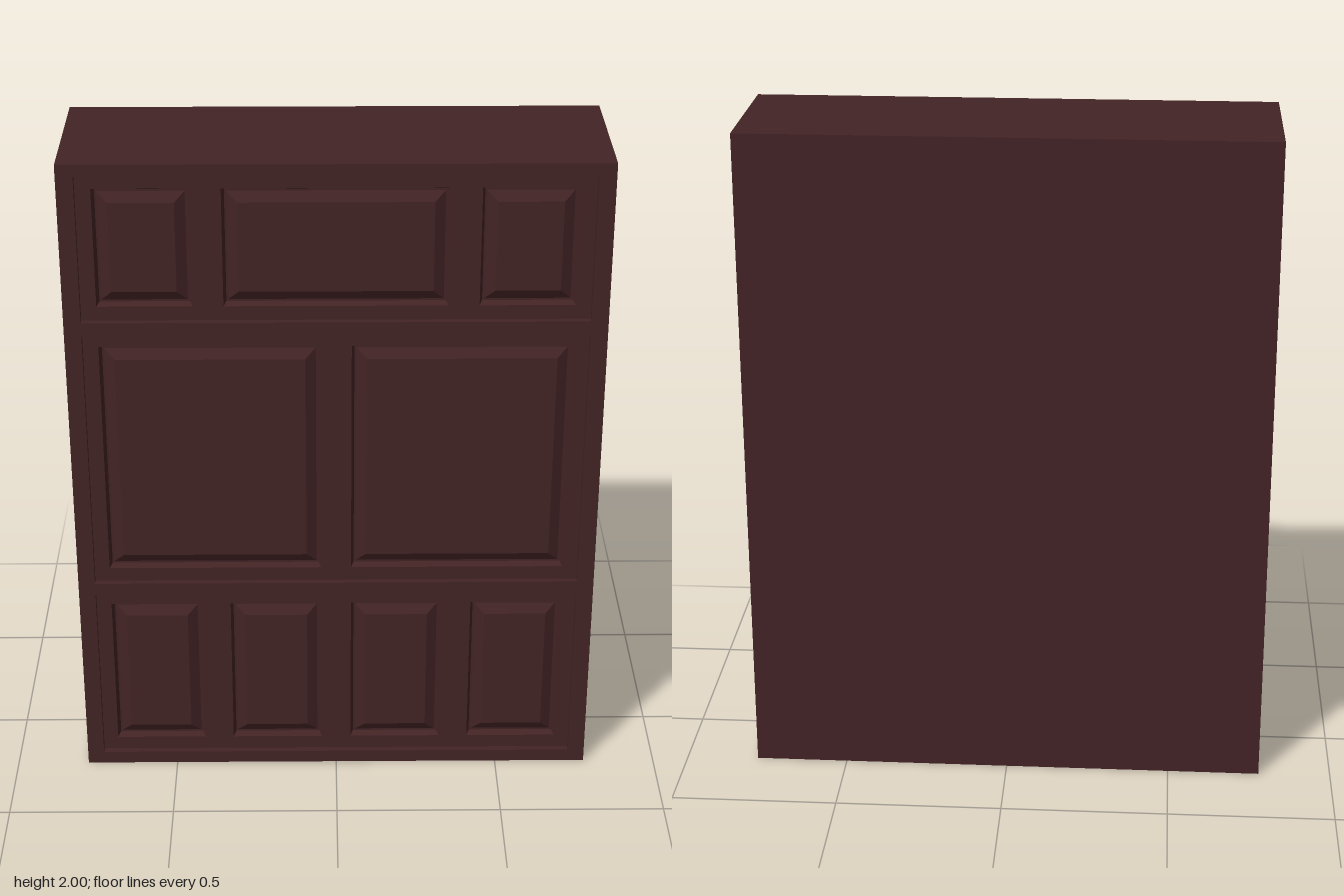
import * as THREE from 'three';

const W = 0.78, D = 0.24;      // half width, half depth
const BODY_Z = 0.19;           // where the solid carcass ends
const ROW_Z = 0.22;            // face of the recessed rows

// Each row: recess bottom/top, and x ranges of its openings
const ROWS = [
  { name: 'upperRow', y: [1.52, 1.965], cols: [[-0.685, -0.41], [-0.322, 0.322], [0.41, 0.685]] },
  { name: 'middleRow', y: [0.655, 1.48], cols: [[-0.685, -0.045], [0.045, 0.685]] },
  { name: 'lowerRow', y: [0.04, 0.615], cols: [[-0.685, -0.41], [-0.322, -0.045], [0.045, 0.322], [0.41, 0.685]] },
];
const ROW_X = 0.73, MARGIN = 0.043;

// Inset and depth of the moulding: lip, groove, bevel, raised field
const MOULDING = [[0, ROW_Z], [0.008, 0.2], [0.014, 0.2], [0.044, 0.217]];

function rectPath(Type, x0, x1, y0, y1) {
  return new Type([[x0, y0], [x1, y0], [x1, y1], [x0, y1]].map(p => new THREE.Vector2(...p)));
}

// Flat board with rectangular openings
function board(outer, holes, z0, z1) {
  const shape = rectPath(THREE.Shape, ...outer);
  shape.holes = holes.map(h => rectPath(THREE.Path, ...h));
  const geo = new THREE.ExtrudeGeometry(shape, { depth: z1 - z0, bevelEnabled: false });
  return geo.translate(0, 0, z0);
}

// Nested rectangles joined by sloping faces, closed by the field
function raisedPanel(x0, x1, y0, y1) {
  const pos = [];
  const loops = MOULDING.map(([i, z]) => [
    [x0 + i, y0 + i, z], [x1 - i, y0 + i, z], [x1 - i, y1 - i, z], [x0 + i, y1 - i, z]]);
  const quad = (a, b, c, d) => pos.push(...a, ...b, ...c, ...a, ...c, ...d);
  for (let k = 0; k < loops.length - 1; k++) {
    for (let i = 0; i < 4; i++) {
      const j = (i + 1) % 4;
      quad(loops[k][i], loops[k][j], loops[k + 1][j], loops[k + 1][i]);
    }
  }
  quad(...loops[loops.length - 1]);
  const geo = new THREE.BufferGeometry();
  geo.setAttribute('position', new THREE.Float32BufferAttribute(pos, 3));
  geo.computeVertexNormals();
  return geo;
}

export function createModel() {
  const group = new THREE.Group();
  group.name = 'panelledCabinet';
  const wood = new THREE.MeshStandardMaterial({ color: 0x432325 });
  wood.name = 'dark red wood';
  const add = (parent, geo, name) => {
    const mesh = new THREE.Mesh(geo, wood);
    mesh.name = name;
    parent.add(mesh);
  };

  // Carcass and the frame around the rows
  add(group, new THREE.BoxGeometry(2 * W, 2, BODY_Z + D).translate(0, 1, (BODY_Z - D) / 2), 'carcass');
  add(group, board([-W, W, 0, 2], ROWS.map(r => [-ROW_X, ROW_X, ...r.y]), BODY_Z, D), 'frontFrame');

  // Recessed rows with raised panels
  for (const { name, y, cols } of ROWS) {
    const row = new THREE.Group();
    row.name = name;
    const openings = cols.map(c => [...c, y[0] + MARGIN, y[1] - MARGIN]);
    add(row, board([-ROW_X, ROW_X, ...y], openings, BODY_Z, ROW_Z), 'rowBoard');
    openings.forEach((o, i) => add(row, raisedPanel(...o), 'raisedPanel' + (i + 1)));
    group.add(row);
  }
  return group;
}
